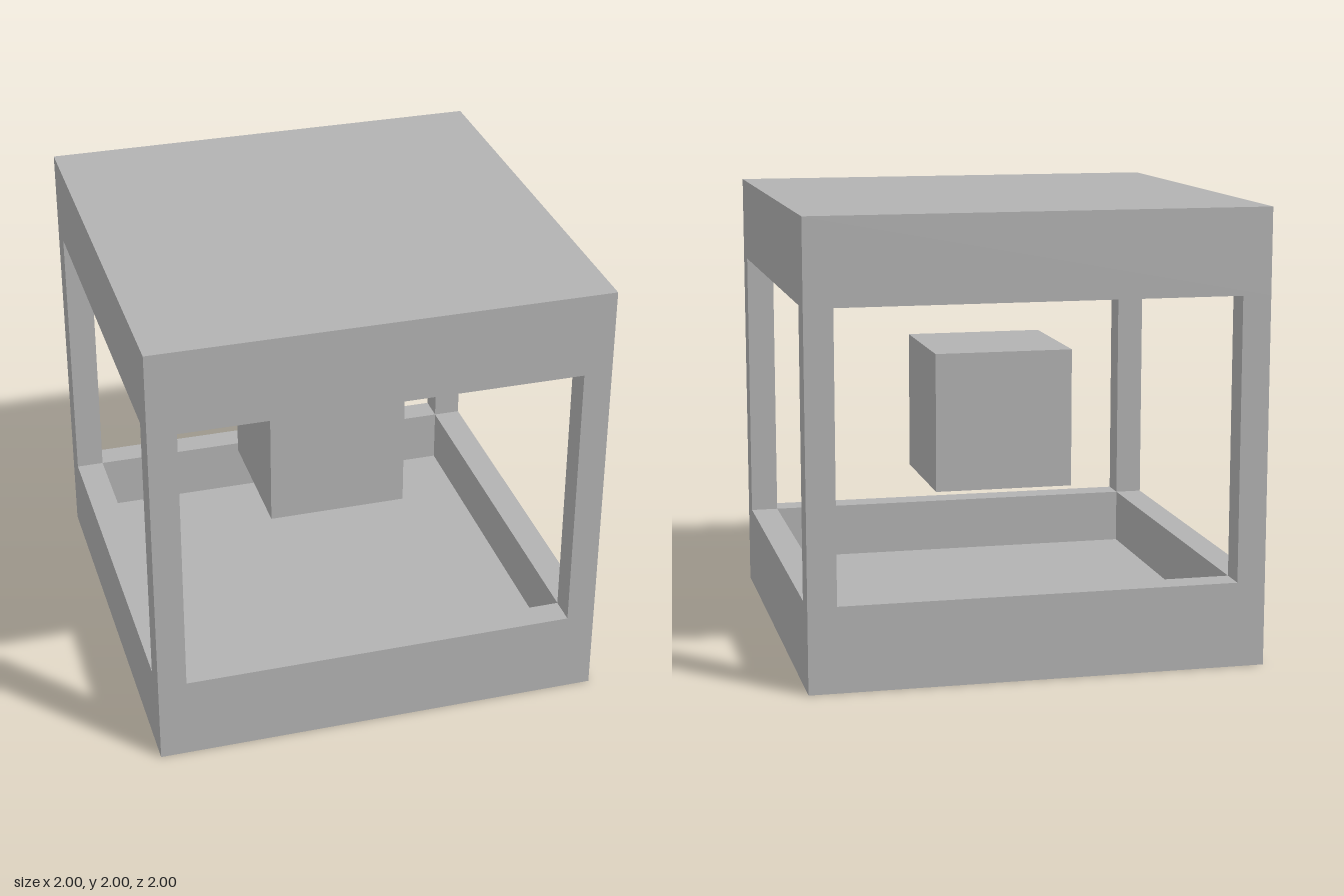
import * as THREE from 'three';

const HALF = 1;        // half the cube's side
const WALL = 0.125;    // thickness of walls, floor and posts
const RIM = 0.375;     // height of the floor and roof trays
const CORE = 0.625;    // side of the floating inner cube

// Square open tray: a closed wall profile turned in four flat sides
function trayGeometry() {
  const inner = HALF - WALL;
  const profile = [[0, 0], [HALF, 0], [HALF, RIM], [inner, RIM], [inner, WALL], [0, WALL]]
    .map(([r, y]) => new THREE.Vector2(r * Math.SQRT2, y));
  const geometry = new THREE.LatheGeometry(profile, 4, Math.PI / 4).toNonIndexed();
  geometry.computeVertexNormals();
  return geometry;
}

export function createModel() {
  const model = new THREE.Group();
  model.name = 'openCubeFrame';
  const grey = new THREE.MeshStandardMaterial({ color: 0xb2b2b2 });
  grey.name = 'grey';

  const add = (name, geometry, x, y, z) => {
    const mesh = new THREE.Mesh(geometry, grey);
    mesh.name = name;
    mesh.position.set(x, y, z);
    model.add(mesh);
    return mesh;
  };

  // Floor tray and the same tray turned over as the roof
  const tray = trayGeometry();
  add('floorTray', tray, 0, 0, 0);
  add('roofTray', tray, 0, 2 * HALF, 0).rotation.x = Math.PI;

  // Four corner posts between the trays
  const post = new THREE.BoxGeometry(WALL, 2 * (HALF - RIM), WALL);
  const offset = HALF - WALL / 2;
  for (const [side, sx] of [['Left', 1], ['Right', -1]]) {
    for (const [end, sz] of [['front', 1], ['back', -1]]) {
      add(`${end}${side}Post`, post, sx * offset, HALF, sz * offset);
    }
  }

  // Floating cube in the middle
  add('innerCube', new THREE.BoxGeometry(CORE, CORE, CORE), 0, HALF, 0);
  return model;
}
